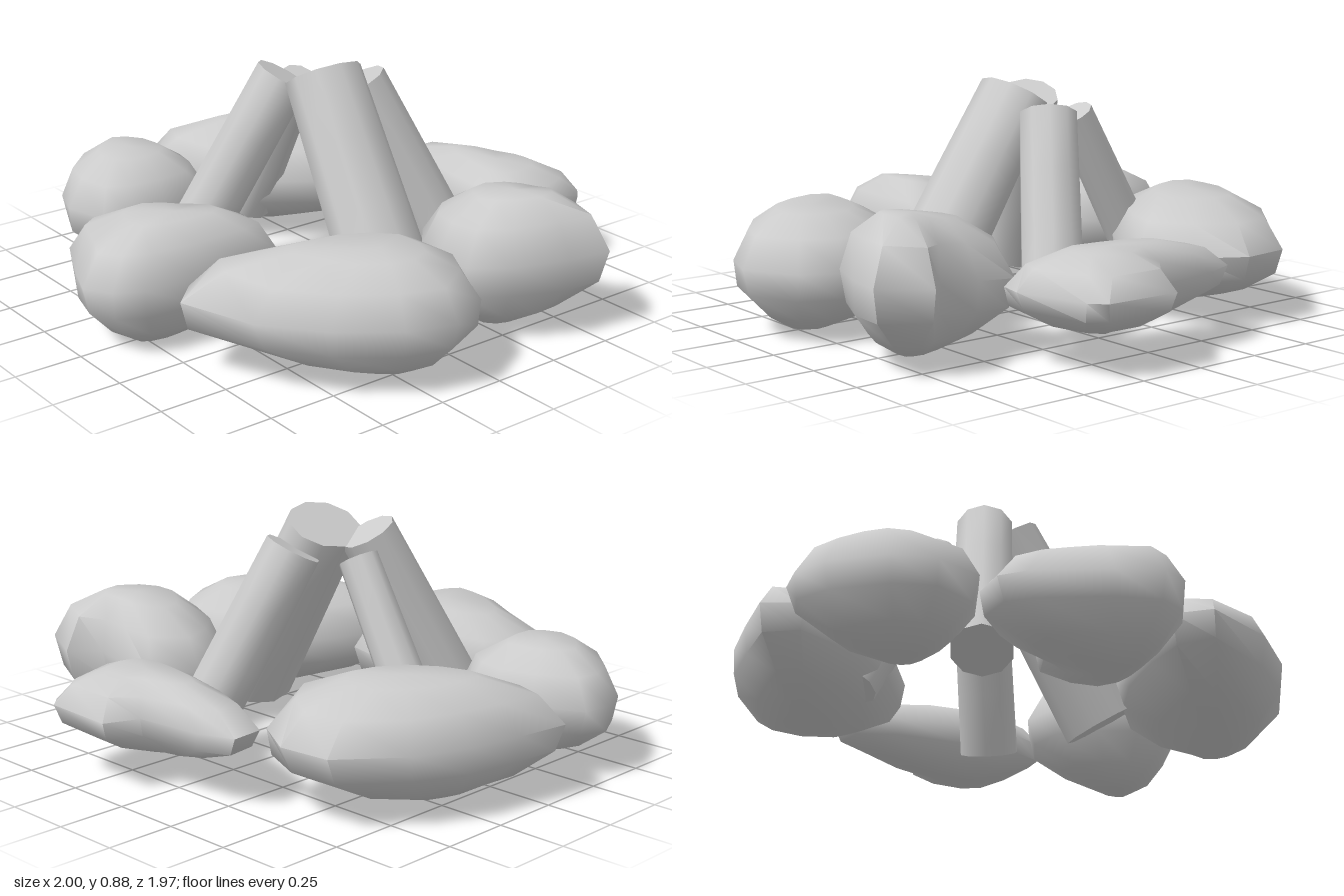
import * as THREE from 'three';
import { toCreasedNormals } from 'three/addons/utils/BufferGeometryUtils.js';

const material = new THREE.MeshStandardMaterial({ color: 0xcccccc });

// Height fraction and outline scale of each ring of a stone, bottom to top
const RINGS = [[0, 0.28], [0.13, 0.64], [0.35, 0.95], [0.58, 1], [0.84, 0.83], [1, 0.48]];

// outline: [x, z] corners, clockwise from above; base and crown: the points that
// the lower and upper rings shrink to; y: lowest and highest level
function stone(name, { outline, base, crown, y, tilt = 0 }) {
  const [low, high] = y, n = outline.length;
  const pos = [], index = [];
  const put = (x, z, t) => pos.push(x, low + (high - low) * t + tilt * (x - crown[0]) * t, z);
  RINGS.forEach(([t, s], r) => {
    const c = t < 0.5 ? base : crown;
    outline.forEach((p, i) => {
      const before = outline[(i + n - 1) % n], after = outline[(i + 1) % n];
      const k = s * (s < 1 ? 1 + 0.03 * Math.sin(i * 2.4 + r * 1.7) : 1); // hewn unevenness
      // Smaller rings are also rounder
      const [x, z] = [0, 1].map((a) => {
        const round = THREE.MathUtils.lerp(p[a], (before[a] + after[a]) / 2, 1 - s);
        return c[a] + (round - c[a]) * k;
      });
      put(x, z, t);
    });
  });
  const last = (RINGS.length - 1) * n, bottom = RINGS.length * n, top = bottom + 1;
  put(...base, 0);
  put(...crown, 1.02);
  for (let i = 0; i < n; i++) {
    const j = (i + 1) % n;
    for (let r = 0; r < last; r += n) {
      index.push(r + i, r + n + i, r + n + j, r + i, r + n + j, r + j);
    }
    index.push(bottom, i, j, top, last + j, last + i);
  }
  const geo = new THREE.BufferGeometry();
  geo.setAttribute('position', new THREE.Float32BufferAttribute(pos, 3));
  geo.setIndex(index);
  const mesh = new THREE.Mesh(toCreasedNormals(geo, 1.1), material);
  mesh.name = name;
  return mesh;
}

// Tapered log from its upper end to its foot; wide is horizontal, thick is across
function log(name, { top, foot, wide, thick, taper }) {
  const a = new THREE.Vector3(...top), b = new THREE.Vector3(...foot);
  const axis = a.clone().sub(b);
  const geo = new THREE.CylinderGeometry(taper, 1, axis.length(), 10, 3);
  geo.scale(wide, 1, thick);
  const up = axis.normalize();
  const side = new THREE.Vector3(0, 1, 0).cross(up).normalize();
  geo.applyMatrix4(new THREE.Matrix4().makeBasis(side, up, side.clone().cross(up)));
  const mid = a.add(b).multiplyScalar(0.5);
  geo.translate(mid.x, mid.y, mid.z);
  const mesh = new THREE.Mesh(toCreasedNormals(geo, 0.8), material);
  mesh.name = name;
  return mesh;
}

const STONES = {
  backRightStone: {
    outline: [[-0.68, -0.72], [-0.49, -0.74], [-0.32, -0.64], [-0.22, -0.46], [-0.27, -0.3], [-0.43, -0.08],
      [-0.6, 0.08], [-0.88, 0.15], [-1, 0.08], [-0.97, -0.12], [-0.93, -0.32], [-0.85, -0.52]],
    base: [-0.7, -0.22], crown: [-0.63, -0.29], y: [0.03, 0.43],
  },
  frontLeftStone: {
    outline: [[0.53, -0.06], [0.76, -0.07], [0.9, 0], [1, 0.19], [0.94, 0.36], [0.8, 0.55],
      [0.6, 0.71], [0.32, 0.8], [0.22, 0.7], [0.24, 0.52], [0.3, 0.3], [0.38, 0.1]],
    base: [0.74, 0.22], crown: [0.69, 0.26], y: [0.02, 0.43],
  },
  frontRightStone: {
    outline: [[-0.8, 0.15], [-0.65, 0.11], [-0.53, 0.12], [-0.43, 0.22], [-0.4, 0.38], [-0.42, 0.52],
      [-0.47, 0.62], [-0.64, 0.66], [-0.78, 0.61], [-0.94, 0.46], [-0.99, 0.34], [-0.97, 0.23]],
    base: [-0.62, 0.4], crown: [-0.68, 0.37], y: [0.03, 0.43],
  },
  frontStone: {
    outline: [[-0.05, 0.25], [0.16, 0.28], [0.19, 0.36], [0.19, 0.62], [0.17, 0.84], [0.11, 0.93],
      [0, 0.98], [-0.15, 0.92], [-0.4, 0.8], [-0.47, 0.73], [-0.46, 0.6], [-0.35, 0.47], [-0.23, 0.42], [-0.12, 0.42]],
    base: [0, 0.72], crown: [-0.02, 0.6], y: [0, 0.42], tilt: 0.12,
  },
  backStone: {
    outline: [[0.1, -0.99], [0.38, -0.98], [0.43, -0.93], [0.5, -0.67], [0.48, -0.58], [0.34, -0.53],
      [0.1, -0.55], [-0.15, -0.6], [-0.32, -0.67], [-0.33, -0.79], [-0.2, -0.84], [0.05, -0.87]],
    base: [0.17, -0.69], crown: [0.18, -0.74], y: [0.1, 0.38],
  },
  backLeftStone: {
    outline: [[0.78, -0.62], [0.96, -0.54], [0.93, -0.38], [0.85, -0.18], [0.75, -0.07], [0.6, -0.07],
      [0.45, -0.13], [0.33, -0.24], [0.3, -0.38], [0.4, -0.54], [0.55, -0.54], [0.69, -0.52]],
    base: [0.64, -0.29], crown: [0.68, -0.35], y: [0.02, 0.49], tilt: 0.12,
  },
};

const LOGS = {
  leftLog: { top: [0, 0.81, -0.04], foot: [0.41, 0.15, -0.02], wide: 0.17, thick: 0.14, taper: 0.88 },
  backLog: { top: [-0.01, 0.75, -0.21], foot: [0.18, 0.14, -0.47], wide: 0.11, thick: 0.11, taper: 0.95 },
  rightLog: { top: [-0.22, 0.73, -0.1], foot: [-0.56, 0.13, -0.11], wide: 0.085, thick: 0.085, taper: 0.85 },
  frontLog: { top: [-0.13, 0.79, 0.04], foot: [-0.31, 0.14, 0.35], wide: 0.11, thick: 0.11, taper: 0.95 },
};

export function createModel() {
  const model = new THREE.Group();
  model.name = 'campfire';
  // Ring of stones
  const ring = new THREE.Group();
  ring.name = 'stoneRing';
  for (const [name, spec] of Object.entries(STONES)) ring.add(stone(name, spec));
  // Logs leaning together
  const logs = new THREE.Group();
  logs.name = 'leaningLogs';
  for (const [name, spec] of Object.entries(LOGS)) logs.add(log(name, spec));
  model.add(ring, logs);
  return model;
}
